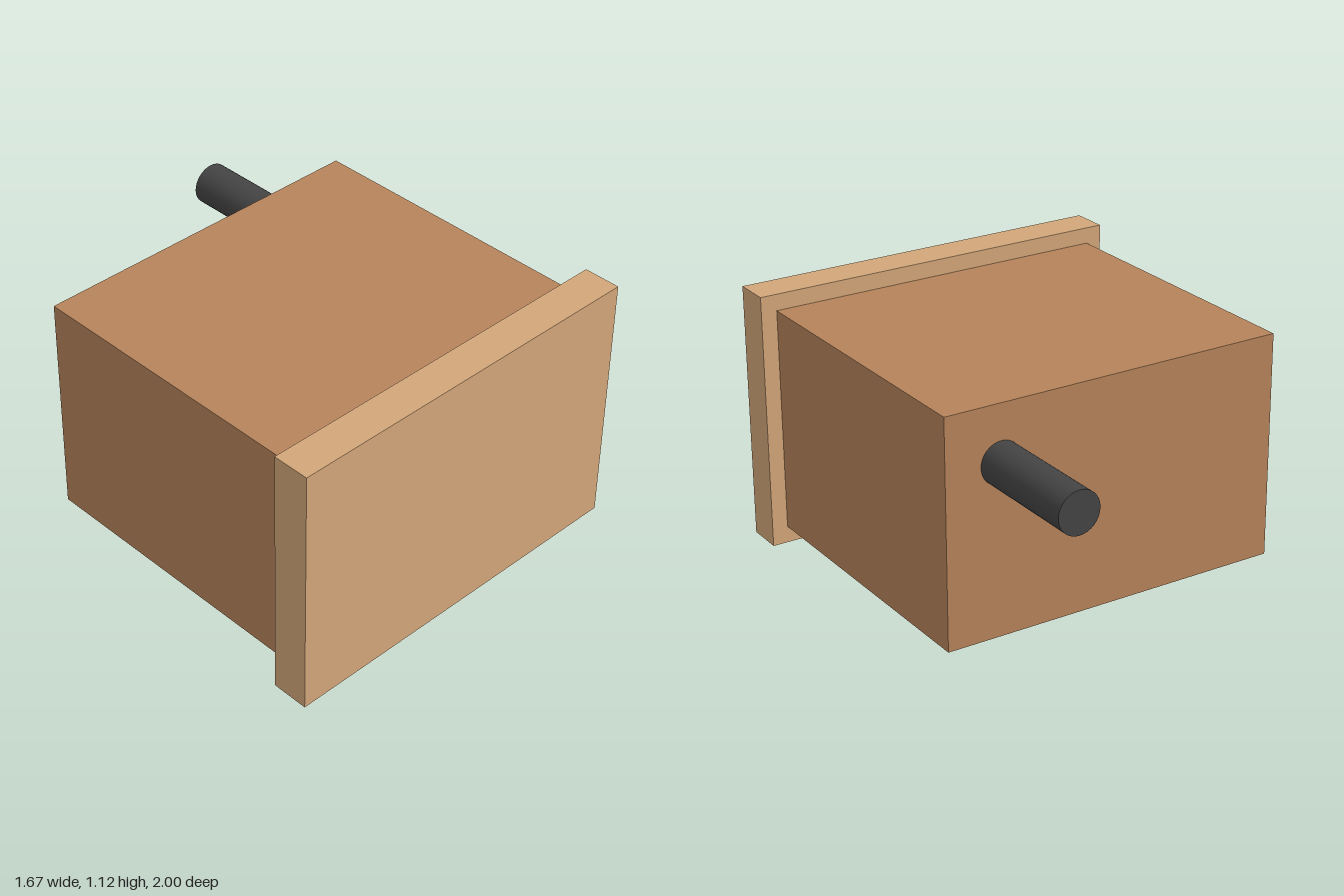
import * as THREE from 'three';

const wood = new THREE.MeshStandardMaterial({ color: 0xb5835a });
const lightWood = new THREE.MeshStandardMaterial({ color: 0xd2a679 });
const dark = new THREE.MeshStandardMaterial({ color: 0x444444 });

// Box given by its extents along each axis
function box(name, material, [x0, x1], [y0, y1], [z0, z1]) {
  const mesh = new THREE.Mesh(new THREE.BoxGeometry(x1 - x0, y1 - y0, z1 - z0), material);
  mesh.position.set((x0 + x1) / 2, (y0 + y1) / 2, (z0 + z1) / 2);
  mesh.name = name;
  return mesh;
}

export function createModel() {
  const model = new THREE.Group();
  model.name = 'cabinet';

  // Main case and the larger front panel
  model.add(box('body', wood, [-0.766, 0.766], [0.073, 1.052], [-0.48, 0.838]));
  model.add(box('frontPanel', lightWood, [-0.836, 0.836], [0, 1.123], [0.838, 1]));

  // Two flat runners under the case
  for (const [name, z] of [['frontRunner', 0.551], ['backRunner', 0.043]]) {
    model.add(box(name, lightWood, [-0.63, 0.63], [0, 0.073], [z - 0.203, z + 0.203]));
  }

  // Round pipe leaving the back
  const pipe = new THREE.Mesh(new THREE.CylinderGeometry(0.091, 0.091, 0.52, 32), dark);
  pipe.rotation.x = Math.PI / 2;
  pipe.position.set(0.519, 0.808, -0.74);
  pipe.name = 'backPipe';
  model.add(pipe);

  return model;
}
